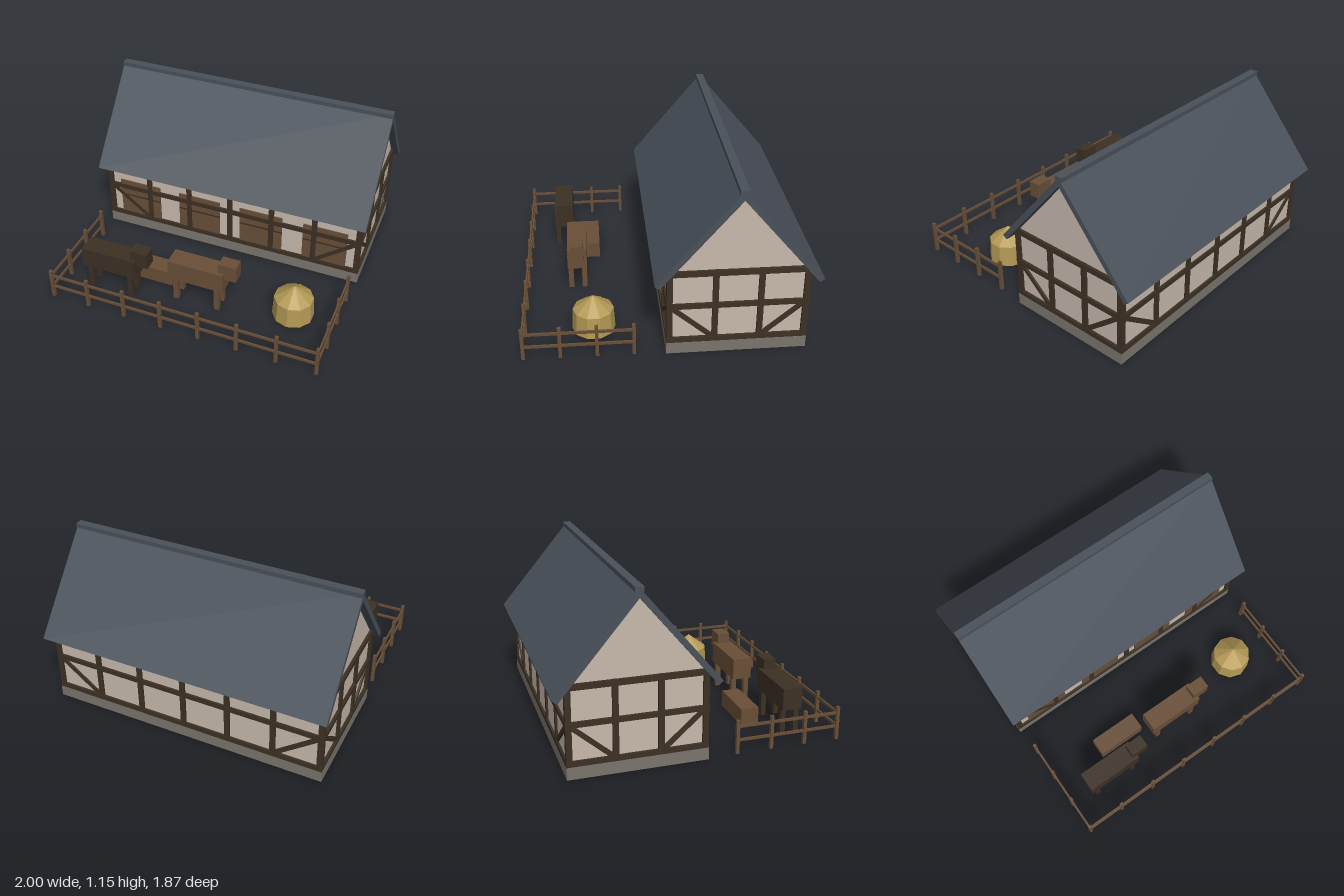
import * as THREE from 'three';

const mat = (name, color, flatShading = false) => {
  const m = new THREE.MeshStandardMaterial({ color, flatShading });
  m.name = name;
  return m;
};

export function createModel() {
  const plaster = mat('plaster', 0xc8baad);
  const slate = mat('slate', 0x4a515a);
  const timber = mat('dark timber', 0x3c3024);
  const brown = mat('brown wood', 0x694f38);
  const stone = mat('stone', 0x7a756d);
  const hay = mat('hay', 0xb59a55, true);

  const model = new THREE.Group();
  model.name = 'stableYard';

  const group = (name, parent) => {
    const g = new THREE.Group();
    g.name = name;
    parent.add(g);
    return g;
  };
  const add = (name, parent, geometry, material) => {
    const m = new THREE.Mesh(geometry, material);
    m.name = name;
    parent.add(m);
    return m;
  };
  // Box given by its size and centre
  const box = (name, parent, material, w, h, d, x, y, z) => {
    const m = add(name, parent, new THREE.BoxGeometry(w, h, d), material);
    m.position.set(x, y, z);
    return m;
  };
  // Cross-section in (z, y), extruded along x and centred
  const prism = (name, parent, material, points, length) => {
    const shape = new THREE.Shape(points.map(p => new THREE.Vector2(...p)));
    const g = new THREE.ExtrudeGeometry(shape, { depth: length, bevelEnabled: false });
    g.translate(0, 0, -length / 2).rotateY(-Math.PI / 2);
    return add(name, parent, g, material);
  };

  // Barn body and roof
  const barn = group('barn', model);
  barn.position.z = -0.415;
  box('plinth', barn, stone, 1.94, 0.08, 0.89, 0, 0.04, 0);
  prism('plasterWalls', barn, plaster,
    [[-0.43, 0.08], [0.43, 0.08], [0.43, 0.575], [0, 1.085], [-0.43, 0.575]], 1.9);
  prism('roof', barn, slate,
    [[-0.52, 0.525], [-0.49, 0.503], [0, 1.085], [0.49, 0.503], [0.52, 0.525], [0, 1.143]], 2);
  box('ridgeCap', barn, slate, 2, 0.03, 0.055, 0, 1.135, 0);

  // Timber frame of one wall: local x runs along it, z points outward
  const POST = 0.037;
  const timberFrame = (name, half, bays, angle, distance, corners) => {
    const g = group(name, barn);
    g.rotation.y = angle;
    g.position.set(Math.sin(angle) * distance, 0, Math.cos(angle) * distance);
    const step = 2 * half / bays;
    for (let i = 0; i <= bays; i++) {
      if (!corners && (i === 0 || i === bays)) continue;
      box('post', g, timber, POST, 0.52, POST, -half + i * step, 0.34, 0);
    }
    for (const [y, h] of [[0.097, 0.034], [0.346, 0.034], [0.58, 0.038]])
      box('beam', g, timber, 2 * half + POST, h, POST + 0.004, 0, y, 0);
    // Diagonal braces in the lower end bays
    const dx = step - POST, dy = 0.215;
    for (const s of [-1, 1]) {
      const b = box('brace', g, timber, Math.hypot(dx, dy), 0.03, 0.032,
        s * (half - step / 2), 0.221, 0);
      b.rotation.z = s * Math.atan2(dy, dx);
    }
    return g;
  };
  const front = timberFrame('frontFrame', 0.948, 6, 0, 0.425, true);
  timberFrame('backFrame', 0.948, 6, Math.PI, 0.425, true);
  timberFrame('leftFrame', 0.425, 3, Math.PI / 2, 0.948, false);
  timberFrame('rightFrame', 0.425, 3, -Math.PI / 2, 0.948, false);

  // Stable doors, split into upper and lower leaves
  for (const x of [-0.711, -0.237, 0.237, 0.711]) {
    box('stableDoor', front, brown, 0.32, 0.31, 0.02, x, 0.245, 0.003);
    box('doorGap', front, timber, 0.32, 0.012, 0.005, x, 0.272, 0.0125);
  }

  // Cattle facing +x
  const cow = (name, material, x, z) => {
    const g = group(name, model);
    g.position.set(x, 0, z);
    box('body', g, material, 0.4, 0.15, 0.135, 0, 0.25, 0);
    box('head', g, material, 0.125, 0.12, 0.088, 0.422, 0.337, 0).position.x = 0.2225;
    for (const lx of [-0.15, 0.15])
      for (const lz of [-0.047, 0.047])
        box('leg', g, material, 0.035, 0.19, 0.035, lx, 0.095, lz);
  };
  cow('darkCow', timber, -0.6, 0.675);
  cow('brownCow', brown, 0, 0.578);

  box('trough', model, brown, 0.347, 0.115, 0.125, -0.402, 0.0575, 0.478);

  // Haystack
  const stack = group('haystack', model);
  stack.position.set(0.645, 0, 0.478);
  add('hayBase', stack, new THREE.CylinderGeometry(0.134, 0.142, 0.15, 10), hay).position.y = 0.075;
  add('hayTop', stack, new THREE.ConeGeometry(0.134, 0.1, 10), hay).position.y = 0.198;

  // Paddock fence on three sides
  const fence = group('fence', model);
  const X = 0.946, Z0 = 0.23, Z1 = 0.925;
  const post = (x, z) => box('fencePost', fence, brown, 0.022, 0.225, 0.022, x, 0.1125, z);
  for (let i = 0; i <= 7; i++) post(-X + i * 2 * X / 7, Z1);
  for (const s of [-1, 1])
    for (let i = 0; i < 3; i++) post(s * X, Z0 + i * (Z1 - Z0) / 3);
  for (const y of [0.09, 0.182]) {
    box('frontRail', fence, brown, 2 * X, 0.018, 0.011, 0, y, Z1);
    for (const s of [-1, 1])
      box('sideRail', fence, brown, 0.011, 0.018, Z1 - Z0, s * X, y, (Z0 + Z1) / 2);
  }

  return model;
}
